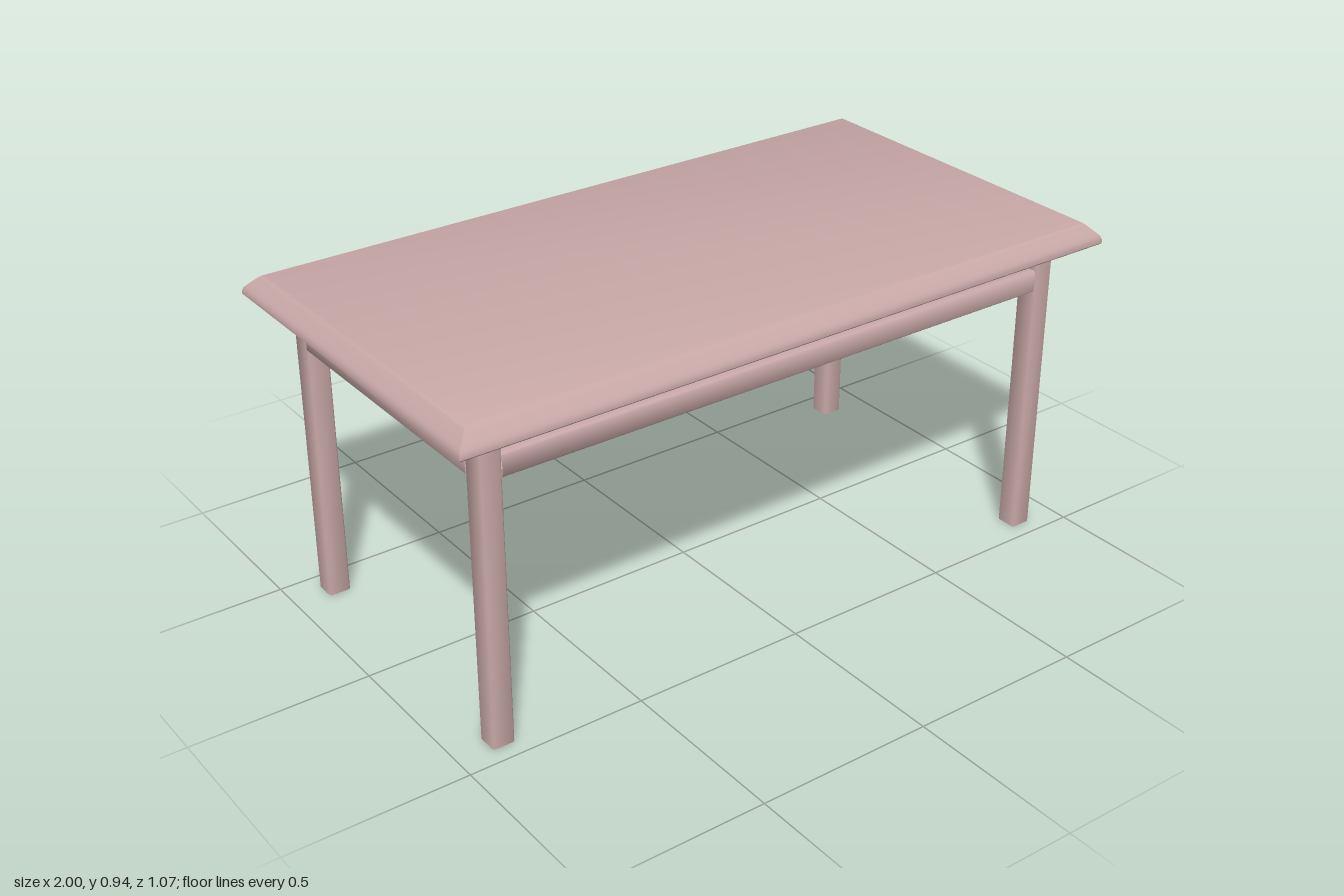
import * as THREE from 'three';
import { toCreasedNormals } from 'three/addons/utils/BufferGeometryUtils.js';

const wood = new THREE.MeshStandardMaterial({ color: 0xc8a8a7, side: THREE.DoubleSide });

// Skin horizontal rings (bottom to top, corners counter-clockwise seen from +y), optionally capped
function loft(rings, capped, crease) {
  const pos = [];
  const tri = (a, b, c) => pos.push(...a, ...b, ...c);
  const n = rings[0].length;
  for (let r = 0; r < rings.length - 1; r++) {
    for (let i = 0; i < n; i++) {
      const j = (i + 1) % n, lo = rings[r], hi = rings[r + 1];
      tri(lo[i], lo[j], hi[j]);
      tri(lo[i], hi[j], hi[i]);
    }
  }
  if (capped) {
    const lo = rings[0], hi = rings[rings.length - 1];
    for (let i = 1; i < n - 1; i++) {
      tri(lo[0], lo[i + 1], lo[i]);
      tri(hi[0], hi[i], hi[i + 1]);
    }
  }
  const geo = new THREE.BufferGeometry();
  geo.setAttribute('position', new THREE.Float32BufferAttribute(pos, 3));
  return toCreasedNormals(geo, crease);
}

// Hollow, open-ended bar with eased edges, centred on the origin and running along y
function bar(width, depth, length, ease = 0.005) {
  const a = width / 2, b = depth / 2, e = ease;
  const outline = [
    [a, b - e], [a, -b + e], [a - e, -b], [-a + e, -b],
    [-a, -b + e], [-a, b - e], [-a + e, b], [a - e, b],
  ];
  const ring = (y) => outline.map(([x, z]) => [x, y, z]);
  return loft([ring(-length / 2), ring(length / 2)], false, 0.9);
}

function add(group, name, geometry, x, y, z) {
  const mesh = new THREE.Mesh(geometry, wood);
  mesh.name = name;
  mesh.position.set(x, y, z);
  group.add(mesh);
}

export function createModel() {
  const table = new THREE.Group();
  table.name = 'table';

  // Tabletop: rectangle following a bevelled edge profile of [inset, height]
  const profile = [
    [0.005, 0.873], [0, 0.878], [0, 0.886], [0.003, 0.895], [0.009, 0.903],
    [0.033, 0.927], [0.039, 0.932], [0.048, 0.936],
  ];
  const rings = profile.map(([inset, y]) => {
    const x = 1 - inset, z = 0.536 - inset;
    return [[x, y, z], [x, y, -z], [-x, y, -z], [-x, y, z]];
  });
  add(table, 'tabletop', loft(rings, true, 0.65), 0, 0, 0);

  // Four legs under the corners
  const legX = 0.874, legZ = 0.421, size = 0.062, legTop = 0.874;
  const legGeo = bar(size, size, legTop);
  for (const sx of [-1, 1]) {
    for (const sz of [-1, 1]) {
      const name = (sz > 0 ? 'front' : 'back') + (sx > 0 ? 'Left' : 'Right') + 'Leg';
      add(table, name, legGeo, sx * legX, legTop / 2, sz * legZ);
    }
  }

  // Rails between the legs
  const railY = 0.774;
  const longRail = bar(size, size, 2 * legX - size).rotateZ(Math.PI / 2);
  const shortRail = bar(size, size, 2 * legZ - size).rotateX(Math.PI / 2);
  for (const s of [-1, 1]) {
    add(table, s > 0 ? 'frontRail' : 'backRail', longRail, 0, railY, s * legZ);
    add(table, s > 0 ? 'leftRail' : 'rightRail', shortRail, s * legX, railY, 0);
  }
  return table;
}
